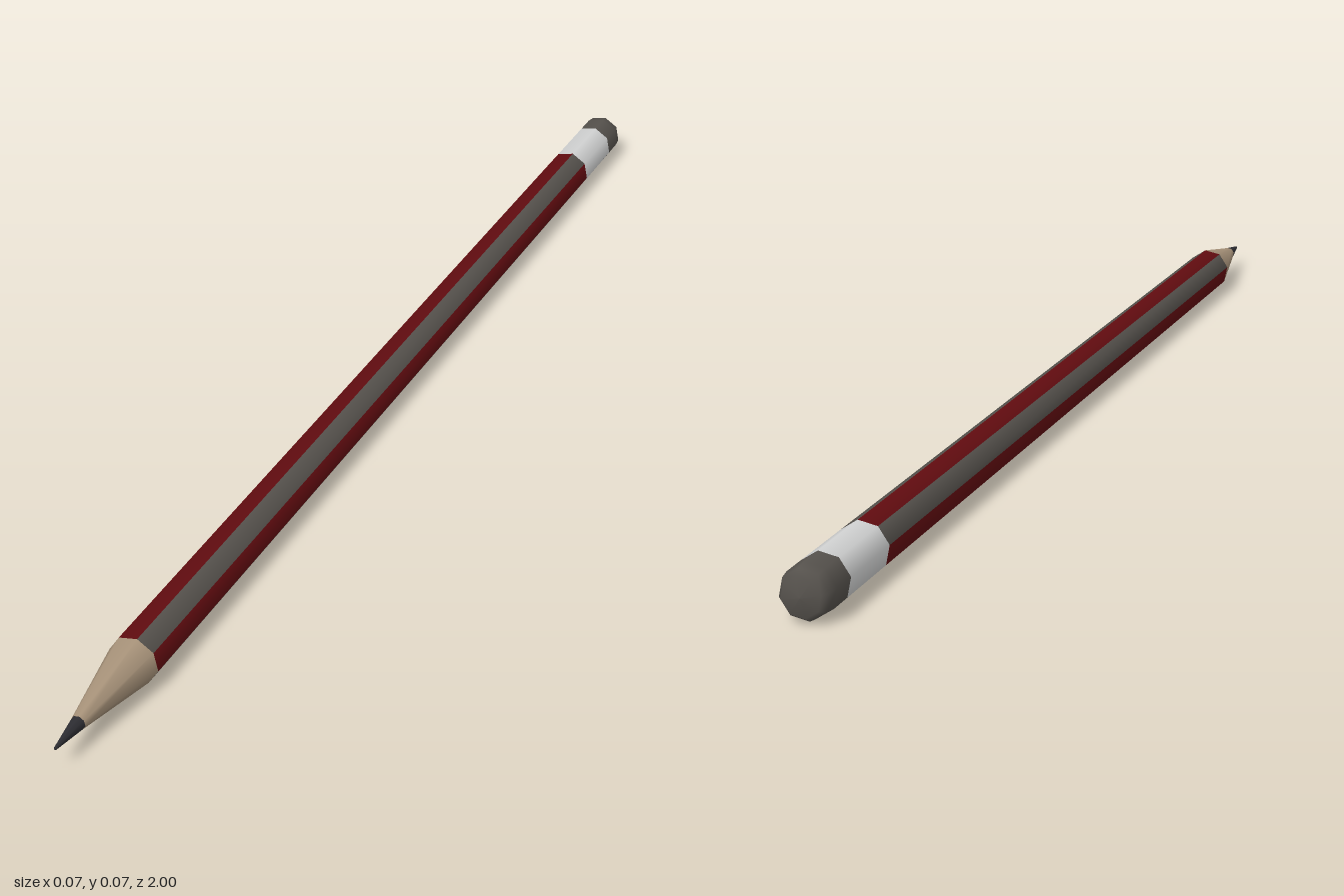
import * as THREE from 'three';

const SIDES = 8;
const R = 0.0365;
const START = THREE.MathUtils.degToRad(34); // slight roll of the octagon

const paint = (name, color) => {
  const m = new THREE.MeshStandardMaterial({ color });
  m.name = name;
  return m;
};

// Eight-sided section along z from [radius, z] pairs, listed back to front
function section(name, profile, material) {
  const points = profile.map(([r, z]) => new THREE.Vector2(r, z));
  const geometry = new THREE.LatheGeometry(points, SIDES, START, Math.PI * 2);
  geometry.rotateX(Math.PI / 2);
  const mesh = new THREE.Mesh(geometry, material);
  mesh.name = name;
  return mesh;
}

export function createModel() {
  const red = paint('dark red paint', 0x620c10);
  const grey = paint('charcoal paint', 0x56524d);
  const metal = paint('pale metal', 0xd2d3d3);
  const wood = paint('bare wood', 0xa8937a);
  const graphite = paint('graphite', 0x2d2d32);

  const pencil = new THREE.Group();
  pencil.name = 'pencil';

  // Painted shaft, its faces alternating between the two paints
  const shaft = section('shaft', [[R, -0.81], [R, 0.8]], [grey, red]);
  for (let i = 0; i < SIDES; i++) shaft.geometry.addGroup(i * 6, 6, i % 2);

  pencil.add(
    shaft,
    // Rounded eraser and the band that holds it
    section('eraser', [[0, -1], [0.027, -0.997], [0.034, -0.987], [R, -0.97], [R, -0.93]], grey),
    section('ferrule', [[R, -0.93], [R, -0.81]], metal),
    // Sharpened end
    section('sharpenedWood', [[R, 0.8], [0.0105, 0.942]], wood),
    section('lead', [[0.0105, 0.942], [0.002, 0.998], [0, 1]], graphite),
  );

  // Rest the lowest edge on the ground
  pencil.position.y = 0.0358;
  const model = new THREE.Group();
  model.name = 'pencilModel';
  model.add(pencil);
  return model;
}
